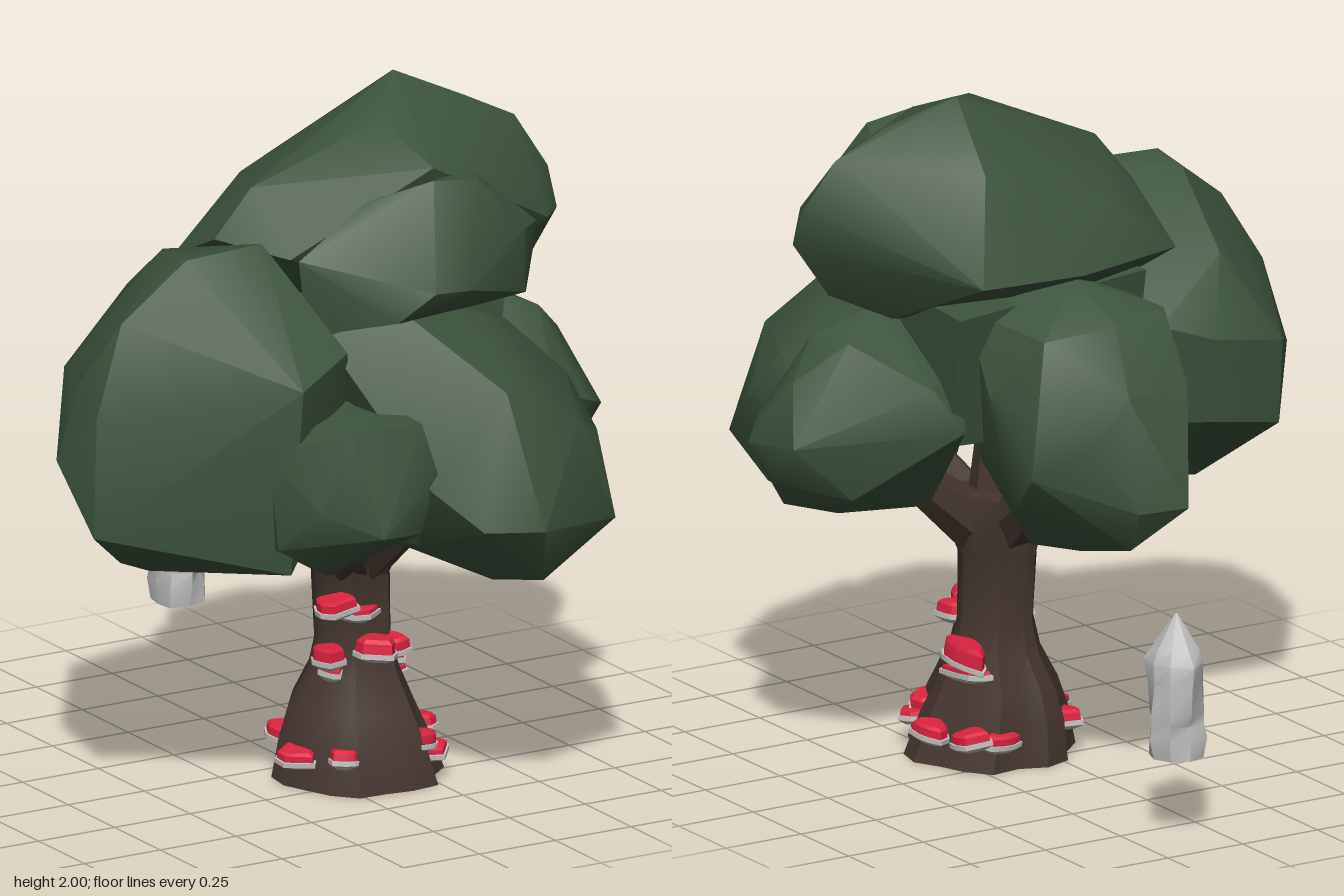
import * as THREE from 'three';
import { toCreasedNormals } from 'three/addons/utils/BufferGeometryUtils.js';
import { ConvexGeometry } from 'three/addons/geometries/ConvexGeometry.js';

const mat = (name, color) => {
  const m = new THREE.MeshStandardMaterial({ color });
  m.name = name;
  return m;
};

// Corner points of each foliage mass
const LOBES = {
  leftFoliage: [[-.85, 1.06, .1], [-.83, .87, .27], [-.8, 1.3, .15], [-.72, 1.48, .24], [-.52, 1.64, .26], [-.27, 1.65, .26],
    [-.5, 1.63, .1], [-.6, 1.2, -.27], [-.6, .95, -.25], [-.35, 1.25, -.31], [-.35, 1, -.28], [-.2, 1.3, -.26], [-.7, .76, .2],
    [-.57, .7, .14], [-.25, .73, .15], [-.3, .73, .47], [-.82, 1.22, .27], [-.6, 1.3, .36], [-.6, .85, .36], [-.32, 1.3, .57],
    [-.12, 1.36, .48], [0, 1, .3], [0, 1, -.1], [-.46, 1.45, -.16], [-.05, 1.25, 0]],
  smallFrontFoliage: [[-.38, 1.1, .48], [-.22, 1.19, .66], [-.02, 1.2, .72], [.02, 1.05, .74], [-.3, .95, .64], [-.36, .82, .5],
    [-.2, .72, .5], [0, .86, .68], [-.15, .88, .73], [0, 1.2, .3], [-.3, 1.15, .3], [0, .8, .3], [-.3, .78, .3]],
  topFoliage: [[.32, 2, 0], [-.22, 1.77, .12], [-.33, 1.63, .1], [-.3, 1.5, -.18], [-.05, 1.7, -.22], [.1, 1.52, -.33],
    [.42, 1.52, -.3], [.35, 1.82, -.2], [.5, 1.92, .08], [.66, 1.84, .1], [.74, 1.69, .15], [.74, 1.58, .2], [.62, 1.41, .2],
    [.5, 1.36, .05], [-.1, 1.33, 0], [.3, 1.33, .2], [.15, 1.93, .2], [.6, 1.62, .38], [.2, 1.84, .42], [-.2, 1.6, .3]],
  topFrontFoliage: [[0, 1.76, .38], [.17, 1.82, .47], [.32, 1.8, .47], [.46, 1.64, .49], [.48, 1.44, .46], [.1, 1.53, .6],
    [.22, 1.52, .59], [0, 1.45, .56], [-.22, 1.62, .38], [-.17, 1.38, .34], [.2, 1.36, .32], [.58, 1.61, .36],
    [.55, 1.42, .3], [.4, 1.78, .3], [.2, 1.6, 0]],
  frontFoliage: [[.05, 1.46, .5], [-.15, 1.39, .4], [.3, 1.42, .5], [.45, 1.35, .4], [.62, 1.18, .45], [.66, 1.03, .55],
    [.6, .77, .55], [.41, .66, .67], [.2, .71, .74], [.32, .71, .82], [.26, .89, .93], [.09, .9, .88], [.57, .85, .8], [0, 1, .74],
    [.2, 1.28, .82], [.45, 1.15, .8], [.04, .8, .6], [.08, .75, .4], [.5, .73, .35], [.65, 1, .3], [.1, 1.4, .15],
    [.4, 1.35, .15], [.3, .85, .2]],
  rightFoliage: [[.5, 1.38, .14], [.65, 1.31, .05], [.68, 1.3, .2], [.79, 1.2, .12], [.84, 1.03, .04], [.85, 1, .26],
    [.83, .9, .15], [.77, .82, .2], [.62, .78, .15], [.75, 1.05, .36], [.62, 1.1, .4], [.65, .85, .36], [.65, 1.05, -.08],
    [.68, .87, -.02], [.5, 1.2, -.17], [.43, 1.08, -.22], [.4, .8, .02], [.25, 1.3, .1], [.28, .95, .1]],
  backFoliage: [[-.03, .9, -.67], [.12, .9, -.65], [.1, .77, -.57], [.24, 1.1, -.59], [.37, 1.15, -.5], [.13, 1.23, -.61],
    [-.09, 1.23, -.57], [-.1, 1.42, -.43], [.38, 1, -.49], [.4, 1.2, -.3], [.35, .87, -.35], [.1, .7, -.3], [.25, .74, -.28],
    [-.1, .85, -.45], [-.14, 1, -.3], [.1, 1.41, -.49], [.3, 1.38, -.43], [.1, 1.5, -.28], [.35, 1.4, -.1],
    [-.12, 1.4, -.1], [.3, .95, -.1], [-.08, .92, -.1]],
  innerFoliage: [[-.2, .98, -.1], [.45, 1.03, -.17], [.4, .98, .4], [-.2, .98, .4], [-.2, 1.45, -.18], [.46, 1.42, -.24],
    [.45, 1.45, .4], [-.15, 1.45, .4]],
};

// Closed loft through rings of points; both ends are capped
function loft(rings) {
  const n = rings[0].length, pos = [], idx = [];
  rings.forEach(r => r.forEach(p => pos.push(...p)));
  for (let i = 0; i < rings.length - 1; i++) {
    for (let j = 0; j < n; j++) {
      const a = i * n + j, b = i * n + (j + 1) % n;
      idx.push(a, a + n, b, b, a + n, b + n);
    }
  }
  [0, rings.length - 1].forEach((k, end) => {
    const c = pos.length / 3;
    pos.push(...[0, 1, 2].map(d => rings[k].reduce((s, p) => s + p[d] / n, 0)));
    for (let j = 0; j < n; j++) {
      const a = k * n + j, b = k * n + (j + 1) % n;
      idx.push(...(end ? [c, b, a] : [c, a, b]));
    }
  });
  const g = new THREE.BufferGeometry();
  g.setAttribute('position', new THREE.Float32BufferAttribute(pos, 3));
  g.setIndex(idx);
  return g;
}

// Horizontal ring, with radius varied by a rule
function ring(x, y, z, rx, rz, n, vary) {
  return Array.from({ length: n }, (_, j) => {
    const a = j / n * Math.PI * 2, k = vary(j, a);
    return [x + Math.cos(a) * rx * k, y, z + Math.sin(a) * rz * k];
  });
}

export function createModel() {
  const model = new THREE.Group();
  const leaf = mat('leaf green', 0x3d543d);
  const bark = mat('bark brown', 0x45362f);
  const red = mat('mushroom red', 0xdc2340);
  const pale = mat('mushroom underside', 0xc2c2be);
  const grey = mat('stone grey', 0xc0c0c0);
  const add = (name, geo, material, parent = model) => {
    const m = new THREE.Mesh(geo, material);
    m.name = name;
    parent.add(m);
    return m;
  };

  // Foliage
  for (const [name, pts] of Object.entries(LOBES)) {
    const hull = new ConvexGeometry(pts.map(p => new THREE.Vector3(...p)));
    add(name, toCreasedNormals(hull, 0.6), leaf);
  }

  // Trunk: fluted and flaring to the roots: y, x, z, radius x, radius z, flute depth
  const trunk = [[0, .11, .157, .24, .24, .07], [.12, .1, .15, .205, .222, .07], [.21, .1, .138, .172, .188, .06],
    [.31, .108, .132, .128, .138, .05], [.4, .108, .13, .107, .12, .04], [.6, .104, .125, .112, .122, .03],
    [.68, .105, .135, .142, .148, .06], [.78, .1, .14, .14, .15, .1]];
  add('trunk', toCreasedNormals(loft(trunk.map(([y, x, z, rx, rz, f]) =>
    ring(x, y, z, rx, rz, 18, (j, a) => 1 + f * Math.sin(6 * a + .8 + y) + f * .4 * Math.sin(2.6 * j)))), 0.5), bark);

  // Branches reaching into each foliage mass
  const tips = [[-.3, .97, .12], [.52, .97, .14], [.12, .97, -.28], [.22, .95, .52], [-.14, .95, .44], [.1, 1.15, .12]];
  tips.forEach(t => {
    const start = new THREE.Vector3(.1, .62, .14), dir = new THREE.Vector3(...t).sub(start);
    const g = new THREE.CylinderGeometry(.04, .095, dir.length(), 7);
    const b = add('branch', toCreasedNormals(g, 0.5), bark);
    b.position.copy(start).addScaledVector(dir, .5);
    b.quaternion.setFromUnitVectors(new THREE.Vector3(0, 1, 0), dir.normalize());
  });

  // Bracket mushrooms: x, y, z, half width x, half depth z, cap height
  const caps = [[-.02, .53, .25, .06, .05, .032], [.06, .505, .24, .06, .045, .016],
    [.09, .395, .29, .058, .06, .042], [.165, .385, .25, .045, .05, .036],
    [-.025, .37, .22, .042, .05, .04], [-.015, .335, .22, .03, .035, .012],
    [.25, .305, .065, .043, .09, .055], [.25, .275, .06, .04, .095, .016],
    [.225, .11, .31, .043, .05, .036], [.255, .085, .31, .053, .05, .02], [.335, .095, .11, .047, .06, .032],
    [.29, .1, -.035, .053, .05, .03], [.2, .085, -.05, .05, .035, .028],
    [-.11, .09, .19, .055, .06, .026], [-.03, .1, .31, .043, .05, .03], [-.04, .1, .01, .053, .055, .032]];
  caps.forEach(([x, y, z, w, d, tall], i) => {
    const mushroom = new THREE.Group();
    mushroom.name = 'bracketMushroom';
    const wobble = j => 1 + .16 * Math.sin(j * 2.4 + i * 1.7);
    const disc = rows => toCreasedNormals(loft(rows.map(([h, r]) => ring(0, h, 0, w * r, d * r, 9, wobble))), 0.5);
    add('cap', disc([[0, 1], [tall * .75, .96], [tall, .76]]), red, mushroom);
    add('underside', disc([[-.026, .62], [-.012, 1.12], [.002, 1.12]]), pale, mushroom);
    mushroom.position.set(x, y, z);
    mushroom.rotation.set(.1 * Math.sin(i * 3), 0, .1 * Math.cos(i * 2));
    model.add(mushroom);
  });

  // Free-standing pointed stone
  const stone = [[.24, .075], [.3, .08], [.34, .074], [.37, .083], [.46, .08], [.52, .086], [.56, .064], [.66, .003]];
  add('pointedStone', toCreasedNormals(loft(stone.map(([y, r], i) =>
    ring(.12, y, -.84, r, r, 8, j => 1 + .12 * Math.sin(j * 2.6 + i)))), 0.55), grey);

  return model;
}
